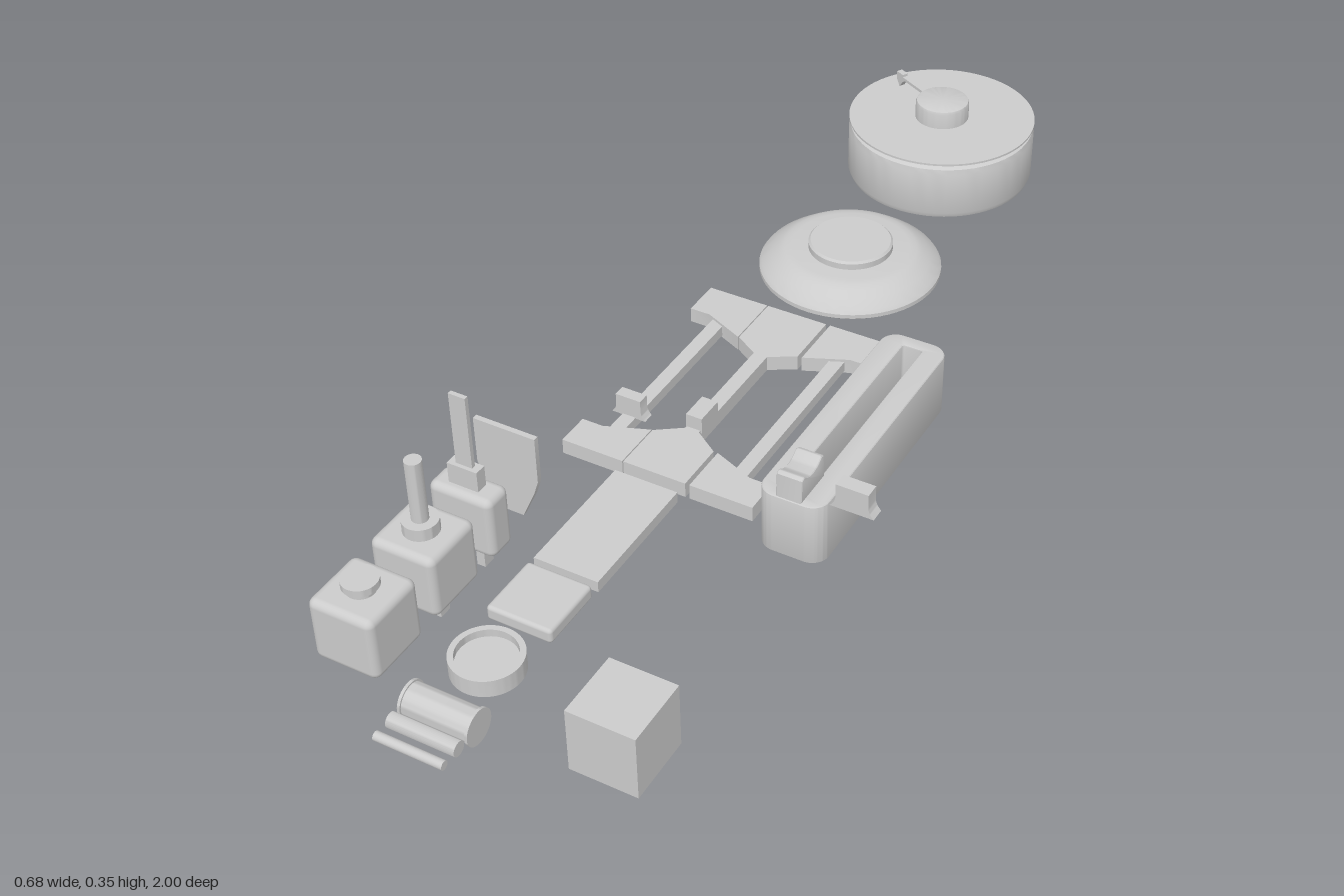
import * as THREE from 'three';
import { toCreasedNormals } from 'three/addons/utils/BufferGeometryUtils.js';
import { RoundedBoxGeometry } from 'three/addons/geometries/RoundedBoxGeometry.js';

const mat = new THREE.MeshStandardMaterial({ color: 0xcccccc });

export function createModel() {
  const root = new THREE.Group();

  const add = (name, geo, x = 0, y = 0, z = 0) => {
    const m = new THREE.Mesh(geo, mat);
    m.name = name;
    m.position.set(x, y, z);
    root.add(m);
    return m;
  };
  // Boxes are given by their limits on each axis
  const box = (name, [x0, x1], [y0, y1], [z0, z1], r = 0) => {
    const s = [x1 - x0, y1 - y0, z1 - z0];
    const g = r ? new RoundedBoxGeometry(...s, 3, r) : new THREE.BoxGeometry(...s);
    return add(name, g, (x0 + x1) / 2, (y0 + y1) / 2, (z0 + z1) / 2);
  };
  const lathe = (name, pts, x, z) => add(name, toCreasedNormals(
    new THREE.LatheGeometry(pts.map(p => new THREE.Vector2(...p)), 64), 0.6), x, 0, z);
  const polygon = pts => new THREE.Shape(pts.map(p => new THREE.Vector2(...p)));
  const extrude = (shape, depth, bevel = 0) => toCreasedNormals(new THREE.ExtrudeGeometry(shape, {
    depth: depth - 2 * bevel, bevelEnabled: bevel > 0, bevelSize: bevel, bevelThickness: bevel,
    bevelOffset: -bevel, bevelSegments: 3, curveSegments: 10 }).translate(0, 0, bevel), 0.5);
  // Plan outline in (x, z), raised from y0 to y1
  const slab = (name, pts, y0, y1) => add(name,
    extrude(polygon(pts.map(([x, z]) => [x, -z])), y1 - y0).rotateX(-Math.PI / 2), 0, y0, 0);
  const roundRect = (w, h, r, Kind = THREE.Shape) => {
    const s = new Kind(), a = w / 2, b = h / 2;
    s.absarc(a - r, b - r, r, 0, Math.PI / 2);
    s.absarc(-a + r, b - r, r, Math.PI / 2, Math.PI);
    s.absarc(-a + r, -b + r, r, Math.PI, Math.PI * 1.5);
    s.absarc(a - r, -b + r, r, Math.PI * 1.5, Math.PI * 2);
    s.closePath();
    return s;
  };

  const CX = -0.058; // shared axis of the round parts and middle column

  // Large dial: drum, thin plate, knob and pointer
  lathe('dialDrum', [[0, 0.098], [0.172, 0.098], [0.181, 0.102], [0.185, 0.112], [0.185, 0.2],
    [0.182, 0.21], [0.172, 0.216], [0, 0.216]], CX, -0.816);
  lathe('dialPlate', [[0, 0.221], [0.185, 0.221], [0.185, 0.225], [0, 0.225]], CX, -0.816);
  lathe('dialKnob', [[0, 0.215], [0.053, 0.215], [0.053, 0.256], [0.051, 0.261], [0.046, 0.263],
    [0, 0.263]], CX, -0.816);
  const pointer = new THREE.Group();
  pointer.name = 'dialPointer';
  const arm = new THREE.Mesh(new THREE.BoxGeometry(0.105, 0.006, 0.012), mat);
  arm.position.x = -0.093;
  arm.name = 'pointerArm';
  const tip = new THREE.Mesh(extrude(polygon([[-0.01, 0.008], [-0.01, -0.008], [0, -0.022],
    [0.01, -0.008], [0.01, 0.008]]), 0.012), mat);
  tip.position.set(-0.137, 0, -0.006);
  tip.name = 'pointerTip';
  pointer.add(arm, tip);
  pointer.position.set(CX, 0.25, -0.816);
  pointer.rotation.y = -0.5;
  root.add(pointer);

  // Shallow dome with raised hub
  lathe('dome', [[0, 0.1], [0.168, 0.1], [0.173, 0.104], [0.173, 0.112], [0.168, 0.119],
    [0.15, 0.132], [0.136, 0.142], [0.125, 0.147], [0.112, 0.149], [0, 0.149]], CX, -0.416);
  lathe('domeHub', [[0, 0.14], [0.08, 0.14], [0.08, 0.161], [0.076, 0.165], [0, 0.165]], CX, -0.416);

  // Three slide tracks, each with a plate at both ends
  const Y0 = 0.096, Y1 = 0.125, BACK = -0.2, FRONT = 0.307;
  slab('middleTrack', [[-0.118, BACK], [0.002, BACK], [0.002, -0.09], [-0.045, -0.062],
    [-0.045, 0.18], [0.002, 0.212], [0.002, FRONT], [-0.118, FRONT], [-0.118, 0.212],
    [-0.072, 0.18], [-0.072, -0.062], [-0.118, -0.09]], Y0, Y1);
  box('middleSlider', [-0.073, -0.042], [0.12, 0.151], [0.12, 0.175]);
  for (const [side, inner, dir] of [['right', -0.12, -1], ['left', 0.01, 1]]) {
    const outer = inner + dir * 0.119, mid = inner + dir * 0.057;
    for (const [end, z, zi, zo] of [['Back', BACK, -0.09, -0.125], ['Front', FRONT, 0.212, 0.243]])
      slab(side + 'Track' + end, [[inner, z], [outer, z], [outer, zo], [mid + dir * 0.022, zo],
        [inner, zi]], Y0, Y1);
    box(side + 'TrackRail', [mid - 0.013, mid + 0.013], [0.1, 0.12], [-0.13, 0.25]);
  }

  // Caps that flare towards the foot
  const flaredCap = (name, w, h, d, x, y, z) => {
    const a = w / 2, t = w * 0.37, s = new THREE.Shape();
    s.moveTo(-a, 0);
    s.lineTo(a, 0);
    s.quadraticCurveTo(t, h * 0.2, t, h * 0.5);
    s.lineTo(t, h);
    s.lineTo(-t, h);
    s.lineTo(-t, h * 0.5);
    s.quadraticCurveTo(-t, h * 0.2, -a, 0);
    add(name, extrude(s, d), x, y, z - d / 2);
  };
  flaredCap('railSlider', 0.066, 0.04, 0.022, -0.178, 0.118, 0.181);
  flaredCap('looseCap', 0.079, 0.047, 0.027, 0.299, 0.171, 0.274);

  // Long fader housing with a slot right through it
  const housing = roundRect(0.122, 0.492, 0.032);
  housing.holes.push(roundRect(0.037, 0.44, 0.005, THREE.Path));
  add('faderHousing', extrude(housing, 0.122, 0.004).rotateX(-Math.PI / 2), 0.195, 0.048, 0.063);
  const saddle = new THREE.Shape();
  saddle.moveTo(-0.041, 0);
  saddle.lineTo(0.041, 0);
  saddle.lineTo(0.038, 0.045);
  saddle.quadraticCurveTo(0.03, 0.052, 0.022, 0.044);
  saddle.quadraticCurveTo(0, 0.03, -0.022, 0.044);
  saddle.quadraticCurveTo(-0.03, 0.052, -0.038, 0.045);
  add('faderSaddle', extrude(saddle, 0.048, 0.004).rotateY(Math.PI / 2), 0.171, 0.169, 0.266);

  // Plain cube
  box('cube', [0.13, 0.25], [0.048, 0.17], [0.745, 0.867]);

  // Middle column: plates, dish and rollers
  box('longPlate', [-0.118, 0.002], [0.104, 0.125], [0.332, 0.577]);
  box('shortPlate', [-0.118, 0.002], [0.104, 0.132], [0.592, 0.711], 0.007);
  lathe('dish', [[0, 0.1], [0.06, 0.1], [0.06, 0.132], [0.05, 0.132], [0.05, 0.118], [0, 0.118]],
    CX, 0.794);
  const roller = (name, r, len, x, z) => add(name,
    toCreasedNormals(new THREE.CylinderGeometry(r, r, len, 32), 0.6).rotateZ(Math.PI / 2), x, 0.109, z);
  roller('largeRoller', 0.028, 0.122, CX, 0.907);
  for (const s of [-1, 1]) roller('rollerFlange', 0.031, 0.005, CX + s * 0.06, 0.907);
  roller('mediumRoller', 0.013, 0.122, CX, 0.956);
  roller('smallRoller', 0.008, 0.122, CX, 0.992);

  // Switch row: push button, rotary shaft, slide lever
  const SX = -0.281;
  const cases = [['button', 0.74, 0.862], ['rotary', 0.585, 0.705], ['lever', 0.49, 0.548]];
  for (const [name, z0, z1] of cases) {
    box(name + 'Case', [SX - 0.061, SX + 0.061], [0.048, 0.17], [z0, z1], 0.014);
    if (name !== 'button') for (const dx of [-0.02, 0.02])
      box(name + 'Pin', [SX + dx - 0.008, SX + dx + 0.008], [name === 'lever' ? 0.008 : 0, 0.06],
        [(z0 + z1) / 2 - 0.012, (z0 + z1) / 2 + 0.012]);
  }
  lathe('buttonCap', [[0, 0.165], [0.025, 0.165], [0.025, 0.18], [0.031, 0.18], [0.031, 0.193],
    [0, 0.193]], SX, 0.801);
  lathe('rotaryShaft', [[0, 0.165], [0.031, 0.165], [0.031, 0.193], [0.0145, 0.193],
    [0.0145, 0.312], [0, 0.312]], SX, 0.645);
  box('leverCollar', [SX - 0.029, SX + 0.029], [0.165, 0.21], [0.508, 0.53]);
  box('leverBlade', [SX - 0.016, SX + 0.016], [0.2, 0.352], [0.515, 0.523]);

  // Thin upright plate with sloped lower corners
  const plate = polygon([[-0.06, 0.235], [-0.06, 0.145], [-0.05, 0.115], [-0.025, 0.06],
    [0.025, 0.06], [0.05, 0.115], [0.06, 0.145], [0.06, 0.235]]);
  add('uprightPlate', extrude(plate, 0.01), -0.259, 0, 0.43);

  return root;
}
